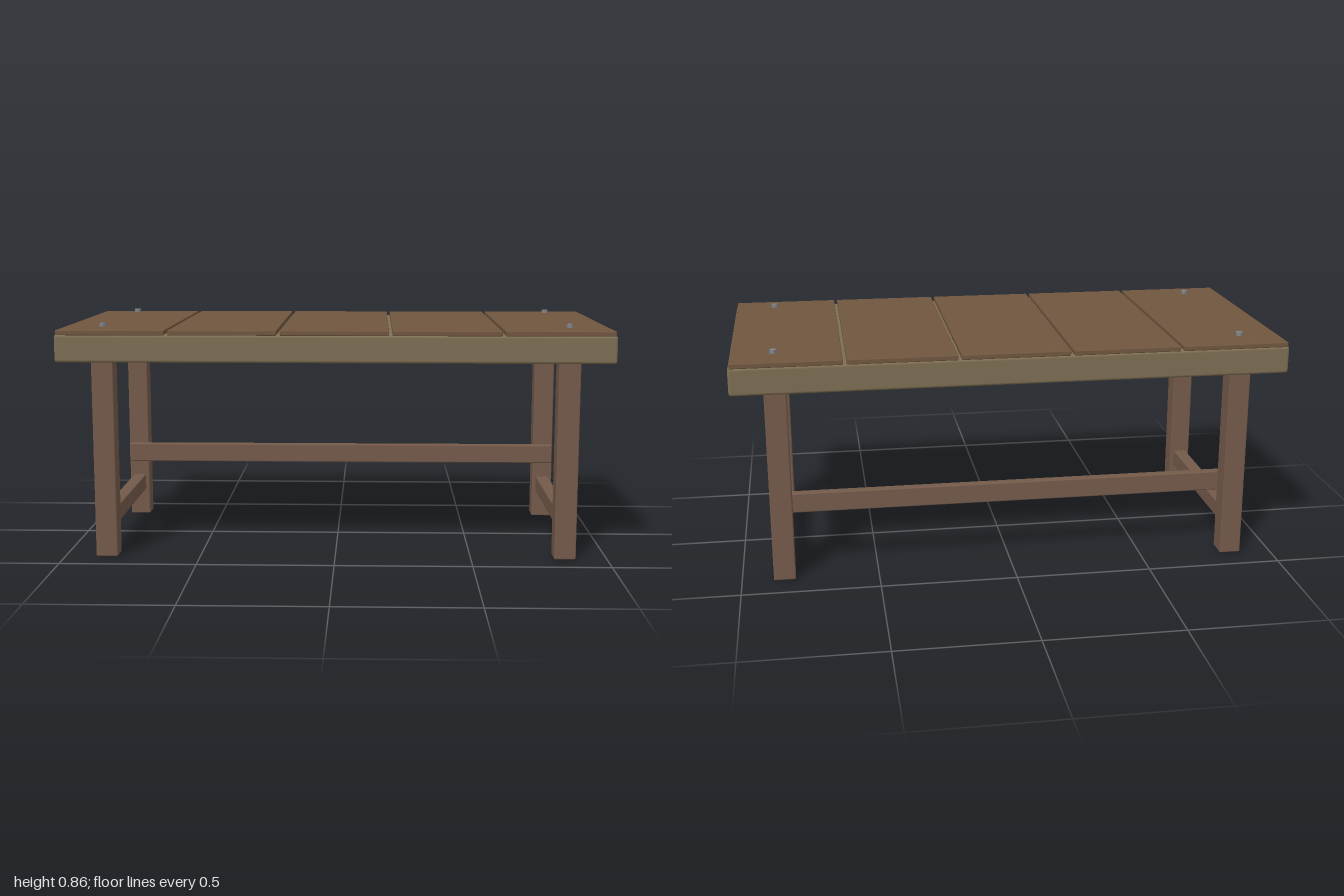
import * as THREE from 'three';
import { RoundedBoxGeometry } from 'three/addons/geometries/RoundedBoxGeometry.js';

const paint = (color) => new THREE.MeshStandardMaterial({ color });

export function createModel() {
  const table = new THREE.Group();
  table.name = 'table';
  const legWood = paint(0x745a4a);
  const slabWood = paint(0x7d6e53);
  const plankWood = paint(0x70563f);
  const steel = paint(0x80858a);

  // Softly bevelled board given by its size and centre
  function board(name, [w, h, d], [x, y, z], material, bevel = 0.005) {
    const mesh = new THREE.Mesh(new RoundedBoxGeometry(w, h, d, 2, bevel), material);
    mesh.name = name;
    mesh.position.set(x, y, z);
    table.add(mesh);
  }

  // Thick slab under the top
  board('slab', [2, 0.1, 0.94], [0, 0.78, 0], slabWood, 0.01);

  // Five planks with narrow gaps
  for (let i = -2; i <= 2; i++) {
    board('plank', [0.388, 0.018, 0.94], [i * 0.4, 0.837, 0], plankWood, 0.003);
  }

  const boltGeometry = new THREE.CylinderGeometry(0.0125, 0.0125, 0.013, 8);
  for (const sx of [-1, 1]) {
    // Stretcher joining the two legs of each end
    board('endStretcher', [0.05, 0.064, 0.64], [sx * 0.845, 0.136, 0], legWood);

    for (const sz of [-1, 1]) {
      board('leg', [0.08, 0.735, 0.08], [sx * 0.845, 0.3675, sz * 0.356], legWood);

      // Bolt head above each leg
      const bolt = new THREE.Mesh(boltGeometry, steel);
      bolt.name = 'boltHead';
      bolt.position.set(sx * 0.845, 0.8565, sz * 0.356);
      table.add(bolt);
    }
  }

  // Long rail fixed to the inside of the back legs
  board('backRail', [1.76, 0.075, 0.034], [0, 0.268, -0.301], legWood);

  return table;
}
